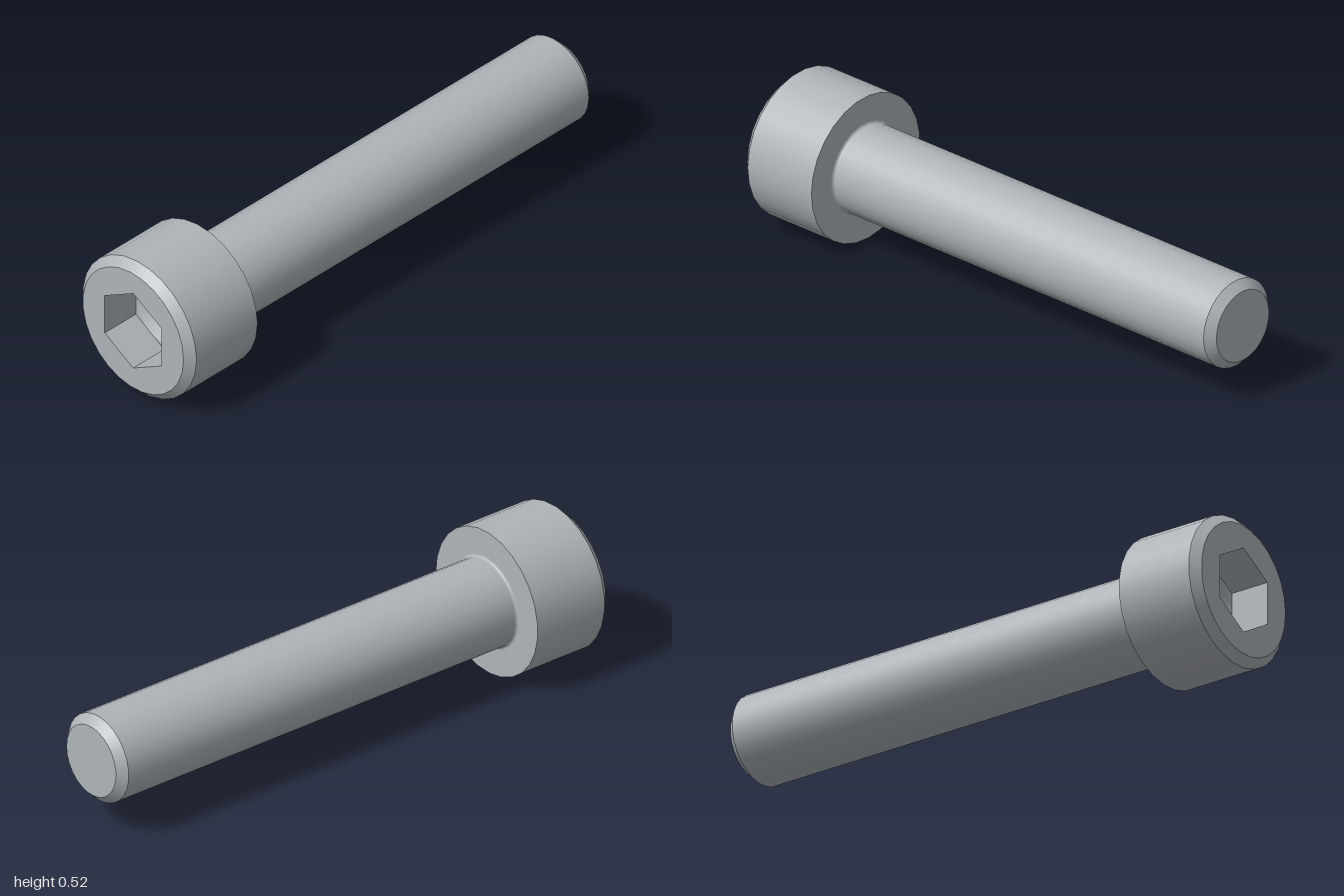
import * as THREE from 'three';

const SIDES = 27;
const AXIS_Y = 0.262;
const HEAD_R = 0.262, HEAD_BACK = 0.685, BEVEL = 0.03;
const SHANK_R = 0.157, FILLET = 0.01;
const HEX_IN = 0.131, HEX_R = HEX_IN / Math.cos(Math.PI / 6);
const SOCKET_Z = 0.855, CONE_DEPTH = 0.076;

export function createModel() {
  const model = new THREE.Group();
  model.name = 'socketScrew';
  const steel = new THREE.MeshStandardMaterial({ name: 'steel grey', color: 0xaeb4b8 });

  // The screw lies along z, so everything hangs on one raised axis
  const add = (name, geometry) => {
    const mesh = new THREE.Mesh(geometry, steel);
    mesh.name = name;
    mesh.position.y = AXIS_Y;
    model.add(mesh);
  };
  // Turned surface from [radius, z] pairs; one call per smooth band keeps edges sharp
  const turned = (name, pairs, sides = SIDES) => {
    const points = pairs.map(([r, z]) => new THREE.Vector2(r, z));
    add(name, new THREE.LatheGeometry(points, sides, Math.PI / 2).rotateX(Math.PI / 2));
  };
  const ring = (r, n, start = 0) => Array.from({ length: n }, (_, i) => {
    const a = start + (i / n) * Math.PI * 2;
    return new THREE.Vector2(r * Math.cos(a), r * Math.sin(a));
  });
  const plate = (name, outer, hole, z) => {
    const shape = new THREE.Shape(outer);
    shape.holes.push(new THREE.Path(hole));
    add(name, new THREE.ShapeGeometry(shape).translate(0, 0, z));
  };

  // Shank, with bevelled tip and a small fillet under the head
  const tipR = SHANK_R - BEVEL;
  turned('shankTip', [[0, -1], [tipR, -1]]);
  turned('shankBevel', [[tipR, -1], [SHANK_R, -1 + BEVEL]]);
  const neck = [[SHANK_R, -1 + BEVEL]];
  for (let i = 0; i <= 4; i++) {
    const a = (i / 4) * Math.PI / 2;
    neck.push([SHANK_R + FILLET * (1 - Math.cos(a)), HEAD_BACK - FILLET * (1 - Math.sin(a))]);
  }
  turned('shank', neck);

  // Head
  const faceR = HEAD_R - BEVEL;
  turned('headBack', [[SHANK_R + FILLET, HEAD_BACK], [HEAD_R, HEAD_BACK]]);
  turned('headSide', [[HEAD_R, HEAD_BACK], [HEAD_R, 1 - BEVEL]]);
  turned('headBevel', [[HEAD_R, 1 - BEVEL], [faceR, 1]]);
  const hexagon = ring(HEX_R, 6, Math.PI / 2);
  plate('headFace', ring(faceR, SIDES), hexagon, 1);

  // Hexagonal socket: inward-facing walls, corner ledges and drilled cone
  const depth = 1 - SOCKET_Z;
  const walls = new THREE.CylinderGeometry(HEX_R, HEX_R, depth, 6, 1, true)
    .scale(-1, 1, 1).rotateX(Math.PI / 2).translate(0, 0, SOCKET_Z + depth / 2).toNonIndexed();
  walls.computeVertexNormals();
  add('socketWalls', walls);
  plate('socketLedge', hexagon, ring(HEX_IN - 0.0005, 48), SOCKET_Z);
  turned('socketCone', [[HEX_IN - 0.0005, SOCKET_Z], [0, SOCKET_Z - CONE_DEPTH]], 48);

  return model;
}
